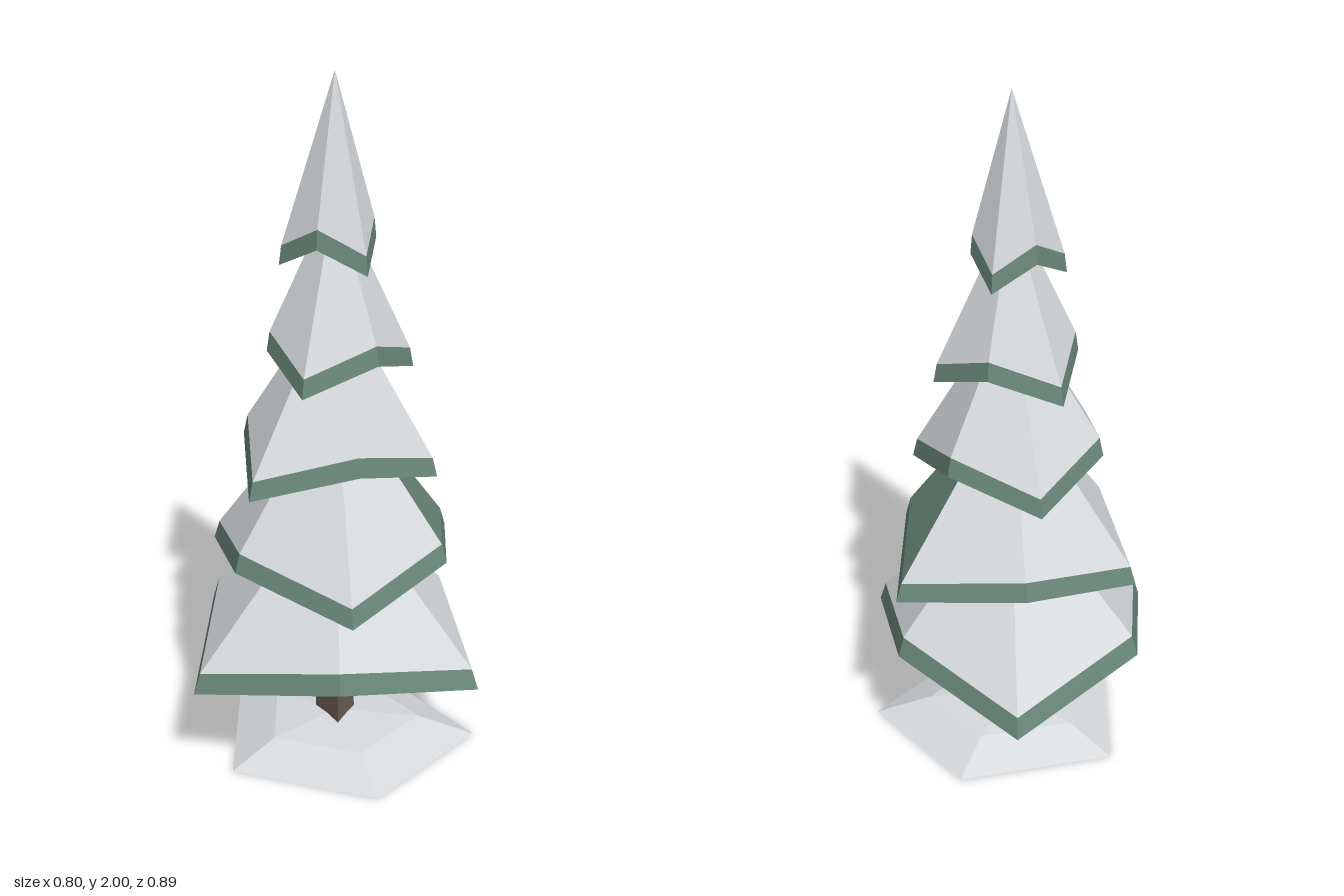
import * as THREE from 'three';

const mat = (name, color) => {
  const m = new THREE.MeshStandardMaterial({ color, flatShading: true });
  m.name = name;
  return m;
};

// Faces between two rings of points, and from a ring to a point.
// Rings run counterclockwise seen from above.
const bandFace = (lo, hi, i) => {
  const j = (i + 1) % lo.length;
  return [lo[i], lo[j], hi[j], lo[i], hi[j], hi[i]];
};
const fanFace = (ring, tip, i) => [ring[i], ring[(i + 1) % ring.length], tip];
const all = (ring, fn) => ring.flatMap((_, i) => fn(i));
const band = (lo, hi) => all(lo, i => bandFace(lo, hi, i));
const fan = (ring, tip) => all(ring, i => fanFace(ring, tip, i));
const under = (ring, tip) => all(ring, i => fanFace(ring, tip, i).reverse());

function mesh(name, points, material) {
  const g = new THREE.BufferGeometry().setFromPoints(points);
  g.computeVertexNormals();
  const m = new THREE.Mesh(g, material);
  m.name = name;
  return m;
}

const CX = -0.01, CZ = 0.043; // trunk axis
const centre = y => new THREE.Vector3(CX, y, CZ);
// Copy of a ring pulled towards the axis and raised
const inset = (ring, s, dy) => ring.map(p => new THREE.Vector3(
  CX + (p.x - CX) * s, p.y + dy, CZ + (p.z - CZ) * s));

// Each tier: rim corners [x, z] alternating low and high, starting with a low one
const TIERS = [
  { low: 0.28, high: 0.36, rim: 0.06, tip: 0.83,
    pts: [[-0.4, 0.3], [0.015, 0.43], [0.4, 0.25], [0.31, -0.17], [-0.04, -0.447], [-0.38, -0.145]] },
  { low: 0.575, high: 0.64, rim: 0.055, tip: 1.14, bare: 1,
    pts: [[0.05, 0.445], [0.305, 0.17], [0.308, -0.21], [-0.06, -0.3], [-0.37, -0.1], [-0.28, 0.25]] },
  { low: 0.875, high: 0.95, rim: 0.055, tip: 1.41,
    pts: [[-0.235, 0.285], [0.065, 0.285], [0.275, 0.105], [0.16, -0.145], [-0.1, -0.24], [-0.27, -0.015]] },
  { low: 1.165, high: 1.235, rim: 0.055, tip: 1.68,
    pts: [[-0.09, 0.26], [0.11, 0.19], [0.205, 0.005], [0.05, -0.125], [-0.155, -0.13], [-0.195, 0.08]] },
  { low: 1.475, high: 1.545, rim: 0.055, tip: 2.0,
    pts: [[-0.16, 0.065], [-0.055, 0.15], [0.08, 0.155], [0.1, 0.025], [0.04, -0.085], [-0.08, -0.045]] },
];

export function createModel() {
  const snow = mat('snow', 0xd6dadd);
  const green = mat('needleGreen', 0x6a8a7b);
  const bark = mat('bark', 0x6f5d55);
  const tree = new THREE.Group();
  tree.name = 'snowyFirTree';

  // Branch tiers: green rim and underside, snow on the sloping faces
  TIERS.forEach(({ low, high, rim, tip, bare, pts }, n) => {
    const tier = new THREE.Group();
    tier.name = `branchTier${n + 1}`;
    const lo = pts.map(([x, z], i) => new THREE.Vector3(x, i % 2 ? high : low, z));
    const hi = inset(lo, 0.955, rim);
    const peak = centre(tip);
    const needles = [...band(lo, hi), ...under(lo, centre(high + 0.02))];
    const cover = [];
    lo.forEach((_, i) => (i === bare ? needles : cover).push(...fanFace(hi, peak, i)));
    tier.add(mesh('needles', needles, green), mesh('snowCover', cover, snow));
    tree.add(tier);
  });

  // Three-sided trunk
  const foot = [[0, 0.11], [0.045, 0.01], [-0.07, 0.01]].map(([x, z]) => new THREE.Vector3(x, 0, z));
  const head = inset(foot, 0.88, 0.45);
  tree.add(mesh('trunk', [...band(foot, head), ...under(foot, centre(0)), ...fan(head, centre(0.45))], bark));

  // Five-sided snow mound
  const edge = [[0.12, 0.385], [0.4, 0.04], [0.13, -0.28], [-0.31, -0.16], [-0.3, 0.26]]
    .map(([x, z]) => new THREE.Vector3(x, 0, z));
  const shoulder = inset(edge, 0.6, 0.06);
  tree.add(mesh('snowMound',
    [...band(edge, shoulder), ...fan(shoulder, centre(0.08)), ...under(edge, centre(0.02))], snow));

  return tree;
}
